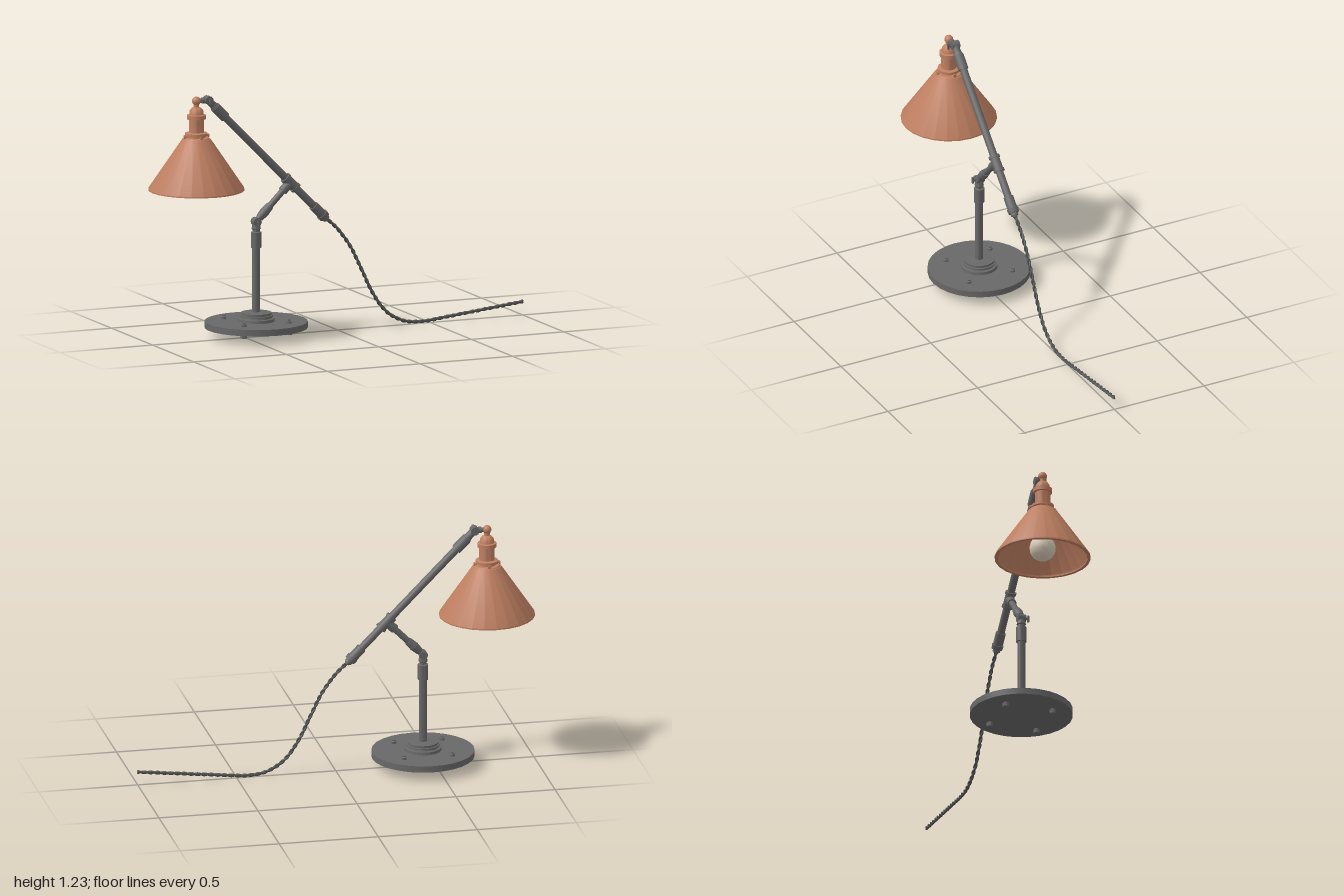
import * as THREE from 'three';
import { toCreasedNormals } from 'three/addons/utils/BufferGeometryUtils.js';

const material = (name, color) => new THREE.MeshStandardMaterial({ name, color });
const V = (x, y, z = 0) => new THREE.Vector3(x, y, z);

export function createModel() {
  const steel = material('dark steel', 0x686868);
  const copper = material('copper', 0xc08062);
  const glass = material('cream glass', 0xdccfb8);
  const cable = material('cord grey', 0x525252);
  const model = new THREE.Group();
  model.name = 'deskLamp';

  function add(name, geometry, mat, parent = model) {
    const mesh = new THREE.Mesh(geometry, mat);
    mesh.name = name;
    parent.add(mesh);
    return mesh;
  }

  // Turned part around the y axis; profile is [radius, y] from bottom to top
  function turned(name, profile, mat, parent, x = 0, z = 0, sides = 24) {
    const points = profile.map(([r, y]) => new THREE.Vector2(r, y));
    const mesh = add(name, toCreasedNormals(new THREE.LatheGeometry(points, sides), 0.6), mat, parent);
    mesh.position.set(x, 0, z);
    return mesh;
  }

  // Straight round bar between two points
  function rod(name, a, b, r1, r2 = r1, mat = steel, parent = model, sides = 16) {
    const mesh = add(name, new THREE.CylinderGeometry(r2, r1, a.distanceTo(b), sides), mat, parent);
    mesh.position.copy(a).add(b).multiplyScalar(0.5);
    mesh.quaternion.setFromUnitVectors(V(0, 1), b.clone().sub(a).normalize());
    return mesh;
  }

  function ball(name, p, r, mat, parent = model) {
    const mesh = add(name, new THREE.SphereGeometry(r, 20, 14), mat, parent);
    mesh.position.copy(p);
    return mesh;
  }

  // Pivot barrel with a thumbscrew on its front
  function knuckle(name, p) {
    const group = new THREE.Group();
    group.name = name;
    group.position.copy(p);
    model.add(group);
    rod('pivotBarrel', V(0, 0, -0.021), V(0, 0, 0.021), 0.021, 0.021, steel, group);
    rod('screwShank', V(0, 0, 0.02), V(0, 0, 0.034), 0.006, 0.006, steel, group, 10);
    const wing = add('screwWing', new THREE.BoxGeometry(0.012, 0.032, 0.008), steel, group);
    wing.position.z = 0.036;
  }

  const baseX = -0.44, shadeX = -0.763;

  // Round base and stepped flange
  turned('base', [[0, 0.05], [0.255, 0.05], [0.255, 0.082], [0, 0.082]], steel, model, baseX, 0, 28);
  turned('flange', [[0.092, 0.08], [0.09, 0.096], [0.078, 0.098], [0.076, 0.106], [0.084, 0.107],
    [0.084, 0.113], [0.076, 0.114], [0.076, 0.125], [0.03, 0.126], [0.02, 0.128]], steel, model, baseX);

  // Four bolts through the base
  for (const sx of [-1, 1]) for (const sz of [-1, 1]) {
    turned('baseBolt', [[0, 0.024], [0.017, 0.024], [0.017, 0.043], [0.01, 0.044], [0.01, 0.08],
      [0.014, 0.08], [0.014, 0.092], [0.009, 0.095], [0.009, 0.101], [0, 0.103]],
    steel, model, baseX + sx * 0.122, sz * 0.122, 8);
  }

  // Upright post, its coupling and lower joint
  turned('post', [[0.02, 0.12], [0.02, 0.46]], steel, model, baseX);
  turned('postCoupling', [[0.02, 0.448], [0.026, 0.45], [0.026, 0.528], [0.018, 0.531],
    [0.018, 0.54], [0.023, 0.545], [0.018, 0.575]], steel, model, baseX);
  const low = V(baseX, 0.58);
  knuckle('lowerJoint', low);

  // Diagonal strut up to the tee
  const tee = V(-0.262, 0.758);
  const onStrut = t => low.clone().lerp(tee, t);
  rod('strut', low, tee, 0.016);
  rod('strutSocket', onStrut(0.1), onStrut(0.25), 0.019, 0.024);
  rod('strutCollar', onStrut(0.25), onStrut(0.42), 0.024, 0.02);
  rod('teeBranch', onStrut(0.8), tee, 0.023);

  // Long arm with its fittings
  const top = V(-0.7, 1.21), end = V(-0.06, 0.565);
  const onArm = t => top.clone().lerp(end, t);
  rod('arm', top, end, 0.019);
  rod('upperNeck', onArm(0.03), onArm(0.065), 0.016, 0.025);
  rod('upperCoupling', onArm(0.06), onArm(0.145), 0.026);
  rod('teeSleeve', onArm(0.652), onArm(0.736), 0.024);
  for (const t of [0.65, 0.728]) rod('teeRim', onArm(t), onArm(t + 0.015), 0.028);
  rod('lowerCoupling', onArm(0.89), onArm(0.97), 0.025);
  rod('lowerRim', onArm(0.96), onArm(0.985), 0.03, 0.027);
  rod('cordGrip', onArm(0.985), onArm(1.01), 0.02, 0.011);

  // Top joint and link to the lamp head
  knuckle('upperJoint', top);
  rod('headLink', V(-0.75, 1.21), top, 0.011);
  rod('headLinkCollar', V(-0.734, 1.21), V(-0.718, 1.21), 0.016);

  // Lamp head: finial, socket, shade and bulb
  const head = new THREE.Group();
  head.name = 'lampHead';
  head.position.x = shadeX;
  model.add(head);
  ball('finial', V(0, 1.21), 0.022, copper, head);
  turned('socket', [[0.07, 1.015], [0.062, 1.026], [0.044, 1.028], [0.044, 1.036], [0.056, 1.037],
    [0.056, 1.05], [0.038, 1.054], [0.038, 1.118], [0.047, 1.12], [0.047, 1.14], [0.036, 1.143],
    [0.034, 1.162], [0.024, 1.175], [0.014, 1.18], [0.014, 1.205]], copper, head);
  for (let i = 0; i < 4; i++) {
    const a = i * Math.PI / 2, c = Math.cos(a), s = Math.sin(a);
    rod('shadeScrew', V(0.04 * c, 1.034, 0.04 * s), V(0.062 * c, 1.034, 0.062 * s), 0.004, 0.004, copper, head, 8);
    rod('shadeScrewHead', V(0.06 * c, 1.034, 0.06 * s), V(0.067 * c, 1.034, 0.067 * s), 0.009, 0.009, copper, head, 10);
  }
  turned('shade', [[0, 1.008], [0.064, 1.008], [0.222, 0.774], [0.222, 0.764], [0.238, 0.764],
    [0.238, 0.771], [0.07, 1.02], [0, 1.02]], copper, head);
  turned('bulbHolder', [[0, 0.9], [0.03, 0.9], [0.03, 1.01]], copper, head);
  turned('bulb', [[0, 0.752], [0.025, 0.757], [0.048, 0.772], [0.062, 0.796], [0.065, 0.82],
    [0.059, 0.846], [0.044, 0.872], [0.03, 0.895], [0.025, 0.925]], glass, head);

  // Twisted two-strand cord trailing to the ground
  const path = new THREE.CatmullRomCurve3([V(-0.07, 0.575), V(0, 0.51), V(0.07, 0.415), V(0.13, 0.295),
    V(0.195, 0.165), V(0.27, 0.07), V(0.36, 0.022), V(0.45, 0.012), V(0.6, 0.026), V(0.8, 0.048), V(0.998, 0.07)]);
  const turns = 20;
  for (const phase of [0, Math.PI]) {
    const strand = [];
    for (let i = 0; i <= turns * 10; i++) {
      const u = i / (turns * 10), a = u * turns * Math.PI * 2 + phase;
      const p = path.getPointAt(u), t = path.getTangentAt(u);
      strand.push(p.add(V(-t.y, t.x).multiplyScalar(0.0045 * Math.cos(a))).add(V(0, 0, 0.0045 * Math.sin(a))));
    }
    add('cordStrand', new THREE.TubeGeometry(new THREE.CatmullRomCurve3(strand), turns * 14, 0.0055, 7), cable);
    for (const tip of [strand[0], strand[strand.length - 1]]) ball('cordTip', tip, 0.0055, cable);
  }
  return model;
}
